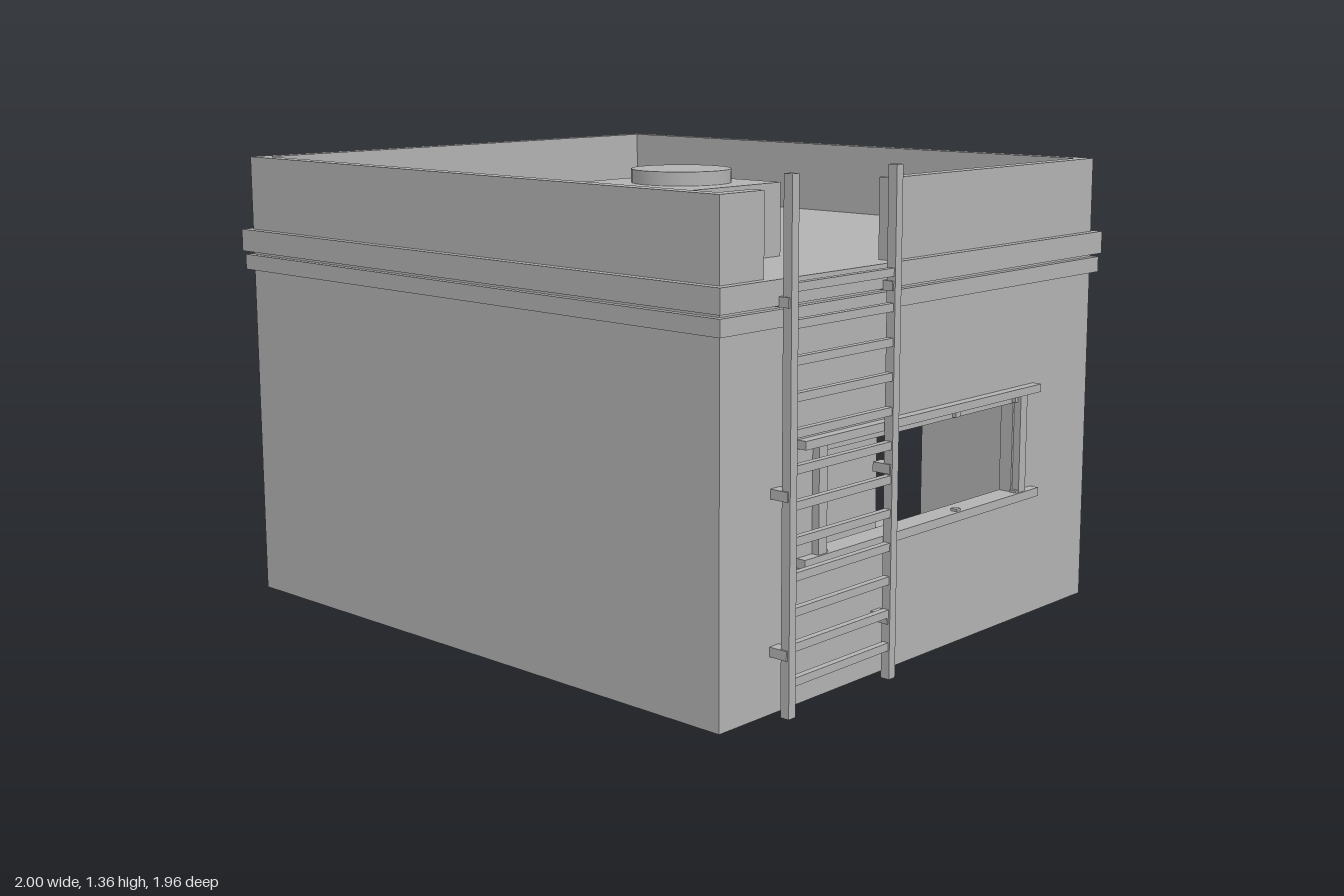
import * as THREE from 'three';

export function createModel() {
  const model = new THREE.Group();
  const grey = new THREE.MeshStandardMaterial({ color: 0xb2b2b2 });
  grey.name = 'plain grey';

  const add = (name, geometry, parent = model) => {
    const mesh = new THREE.Mesh(geometry, grey);
    mesh.name = name;
    parent.add(mesh);
    return mesh;
  };
  // Box given by its lower and upper limits on each axis
  const box = (name, x0, x1, y0, y1, z0, z1, parent) => add(name,
    new THREE.BoxGeometry(x1 - x0, y1 - y0, z1 - z0)
      .translate((x0 + x1) / 2, (y0 + y1) / 2, (z0 + z1) / 2), parent);
  const group = (name) => {
    const g = new THREE.Group();
    g.name = name;
    model.add(g);
    return g;
  };
  const points = (list) => list.map(([x, y]) => new THREE.Vector2(x, y));
  const rect = (x0, y0, x1, y1) => [[x0, y0], [x1, y0], [x1, y1], [x0, y1]];
  // Flat panel with one rectangular hole
  const panel = (outline, hole, depth) => {
    const shape = new THREE.Shape(points(outline));
    shape.holes.push(new THREE.Path(points(hole).reverse()));
    return new THREE.ExtrudeGeometry(shape, { depth, bevelEnabled: false });
  };

  // Main limits of the building
  const L = -0.98, R = 0.65, B = -0.955, F = 0.92, T = 0.04, H = 1.32, ROOF = 1.105;
  const windowHole = rect(-0.59, 0.385, 0.265, 0.645);

  // Walls running up into the parapet; the front one has a gap for the ladder
  add('frontWall', panel([[L, 0], [R, 0], [R, H], [-0.32, H], [-0.32, ROOF],
    [-0.82, ROOF], [-0.82, H], [L, H]], windowHole, T).translate(0, 0, F - T));
  add('backWall', panel(rect(L, 0, R, H), windowHole, T).translate(0, 0, B));
  box('leftSideWall', L, L + T, 0, H, B + T, F - T);
  add('doorWall', panel(rect(-(F - T), 0, -(B + T), H), rect(-0.35, 0.08, 0.38, 0.77), T)
    .rotateY(Math.PI / 2).translate(R - T, 0, 0));
  box('floor', L + T, R - T, 0, 0.04, B + T, F - T);
  box('roof', L + T, R - T, 1.04, ROOF, B + T, F - T);

  // Two cornice bands around the walls
  for (const [y0, y1, out] of [[0.985, 1.03, 0.018], [1.04, ROOF, 0.024]]) {
    add('corniceBand', panel(rect(L - out, -F - out, R + out, -B + out),
      rect(L, -F, R, -B), y1 - y0).rotateX(-Math.PI / 2).translate(0, y0, 0));
  }

  // Window frames, front and back
  for (const [name, face, dir] of [['frontWindow', F, 1], ['backWindow', B, -1]]) {
    const frame = group(name);
    const bar = (part, x0, x1, y0, y1, out) => box(part, x0, x1, y0, y1,
      Math.min(face, face + dir * out), Math.max(face, face + dir * out), frame);
    bar('sill', -0.69, 0.365, 0.36, 0.385, 0.028);
    bar('head', -0.69, 0.365, 0.667, 0.69, 0.028);
    bar('post', -0.63, -0.597, 0.385, 0.667, 0.022);
    bar('post', 0.272, 0.305, 0.385, 0.667, 0.022);
    for (const x of [-0.6, -0.31, -0.02, 0.27]) {
      bar('clip', x - 0.01, x + 0.01, 0.385, 0.392, 0.02);
      bar('clip', x - 0.01, x + 0.01, 0.648, 0.667, 0.012);
    }
  }

  // Door frame
  const door = group('doorFrame');
  box('jamb', R, 0.73, 0.04, 0.82, 0.35, 0.4, door);
  box('jamb', R, 0.73, 0.04, 0.82, -0.43, -0.38, door);
  box('threshold', R, 0.73, 0.04, 0.08, -0.38, 0.35, door);
  box('lintel', R, 0.755, 0.82, 0.87, -0.43, 0.4, door);

  // Canopy on two posts
  const canopy = group('canopy');
  box('canopyRoof', R, 1, 0.89, 0.93, -0.485, 0.45, canopy);
  for (const z of [0.415, -0.45]) {
    box('canopyPost', 0.952, 0.985, 0, 0.89, z - 0.017, z + 0.017, canopy);
  }

  // Ladder with wall brackets
  const ladder = group('ladder');
  for (const x of [-0.775, -0.365]) {
    box('rail', x - 0.013, x + 0.013, 0, 1.36, 0.953, 0.98, ladder);
    for (const y of [0.165, 0.57, 1.05]) {
      box('bracket', x - 0.018, x + 0.018, y - 0.013, y + 0.013, F, 0.975, ladder);
    }
  }
  for (let i = 0; i < 12; i++) {
    const y = 0.09 + i * 0.0905;
    box('rung', -0.765, -0.375, y - 0.011, y + 0.011, 0.957, 0.976, ladder);
  }

  // Rooftop cooling unit with round fan cover and side louvres
  const unit = group('coolingUnit');
  box('unitBody', -0.775, -0.432, ROOF, 1.3, 0.25, 0.64, unit);
  add('fanCover', new THREE.CylinderGeometry(0.132, 0.132, 0.036, 32)
    .translate(-0.605, 1.318, 0.445), unit);
  for (let i = 0; i < 6; i++) {
    const z = 0.305 + i * 0.06;
    box('louvre', -0.432, -0.422, 1.165, 1.25, z - 0.007, z + 0.007, unit);
  }

  // Furniture inside
  const furniture = group('furniture');
  box('cabinet', -0.55, -0.08, 0.04, 0.59, 0.4, 0.7, furniture);
  box('tableTop', -0.92, -0.56, 0.305, 0.33, 0.03, 0.75, furniture);
  box('tableLeg', -0.9, -0.6, 0.04, 0.305, 0.05, 0.18, furniture);
  box('tableLeg', -0.9, -0.6, 0.04, 0.305, 0.6, 0.73, furniture);
  box('deskBox', -0.85, -0.7, 0.345, 0.435, 0.25, 0.42, furniture);
  box('deskBoxFoot', -0.82, -0.73, 0.33, 0.345, 0.28, 0.39, furniture);
  box('chairSeat', 0.065, 0.26, 0.04, 0.25, -0.5, -0.385, furniture);
  box('chairBack', 0.065, 0.26, 0.04, 0.46, -0.65, -0.5, furniture);

  return model;
}
